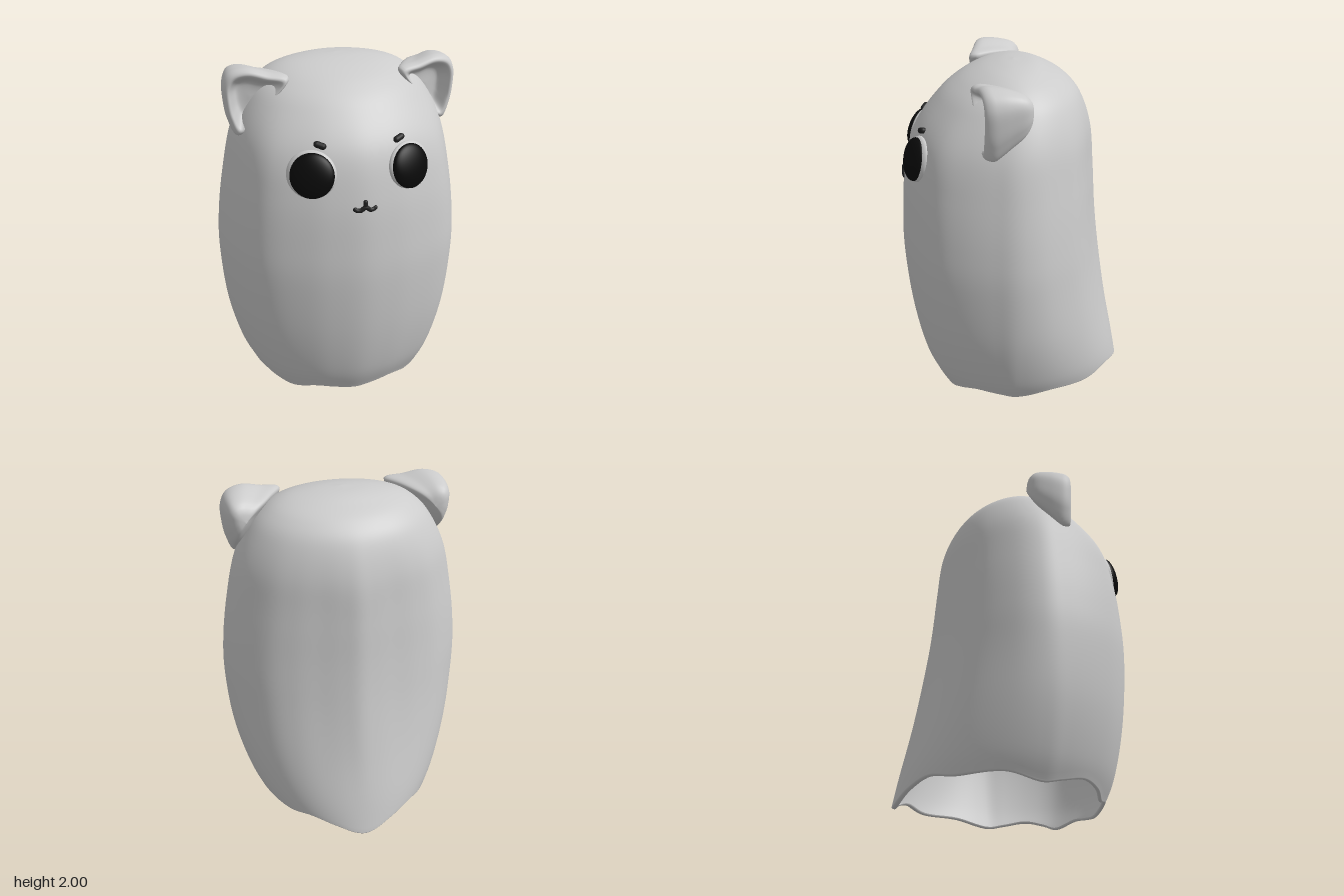
import * as THREE from 'three';

const { smoothstep, lerp } = THREE.MathUtils;
const spline = (pts, closed = false) =>
  new THREE.CatmullRomCurve3(pts.map(p => new THREE.Vector3(...p)), closed, 'catmullrom', 0.5);

const grey = new THREE.MeshStandardMaterial({ color: 0xcccccc, side: THREE.DoubleSide });
const black = new THREE.MeshStandardMaterial({ color: 0x0a0a0a });
const dark = new THREE.MeshStandardMaterial({ color: 0x222222 });

// Smooth surface through closed rings; at(i, j) gives the point of ring i, column j
function loft(rows, cols, at, flip = false) {
  const pos = [], idx = [];
  for (let i = 0; i <= rows; i++) {
    for (let j = 0; j < cols; j++) {
      pos.push(...at(i, j));
      if (i === rows) continue;
      const a = i * cols + j, d = i * cols + (j + 1) % cols, b = a + cols, c = d + cols;
      if (flip) idx.push(a, c, b, a, d, c);
      else idx.push(a, b, c, a, c, d);
    }
  }
  const g = new THREE.BufferGeometry();
  g.setAttribute('position', new THREE.Float32BufferAttribute(pos, 3));
  g.setIndex(idx);
  g.computeVertexNormals();
  return g;
}

function add(parent, name, geometry, material) {
  const m = new THREE.Mesh(geometry, material);
  m.name = name;
  parent.add(m);
  return m;
}

// Draped sheet body, open below, with a wavy hem rolled slightly inward
function bodyGeometry() {
  // height, half width, front depth, back depth
  const levels = [
    [2, 0, 0, 0], [1.99, 0.17, 0.09, 0.11], [1.96, 0.32, 0.2, 0.19], [1.9, 0.43, 0.32, 0.3],
    [1.8, 0.52, 0.44, 0.385], [1.61, 0.615, 0.58, 0.45], [1.36, 0.672, 0.645, 0.475],
    [1.1, 0.71, 0.67, 0.495], [0.85, 0.72, 0.675, 0.525], [0.5, 0.69, 0.645, 0.58],
    [0.2, 0.615, 0.585, 0.64], [0, 0.52, 0.5, 0.678],
  ];
  const heights = spline(levels.map(l => [l[0], 0, 0]));
  const sizes = spline(levels.map(l => l.slice(1)));
  // half section from front to back: x, z, hem height
  const half = [
    [0, 1, 0.045], [0.22, 0.97, 0.06], [0.42, 0.91, 0.075], [0.66, 0.79, 0.045],
    [0.8, 0.66, 0.085], [0.9, 0.46, 0.115], [0.97, 0.22, 0.09], [1, 0, 0.07],
    [0.93, -0.3, 0.115], [0.73, -0.63, 0.1], [0.52, -0.8, 0.12], [0.3, -0.9, 0.075],
    [0.14, -0.965, 0.03], [0, -1, 0.012],
  ];
  const section = spline([...half, ...half.slice(1, -1).reverse().map(([x, z, h]) => [-x, z, h])], true);
  const rows = 72, lip = 8, cols = 144;
  const outline = Array.from({ length: cols }, (_, j) => section.getPoint(j / cols));
  return loft(rows + lip, cols, (i, j) => {
    const { x: sx, y: sz, z: hem } = outline[j];
    const t = Math.min(i / rows, 1) * (1 - hem / 0.2 / (levels.length - 1));
    const y = heights.getPoint(t).x;
    const { x: w, y: f, z: b } = sizes.getPoint(t);
    // round on top, folded in the middle, round again at the rear hem
    let k = 1 - smoothstep(y, 1.45, 1.95);
    if (sz < 0) k *= smoothstep(y, 0.1, 0.9);
    const a = Math.atan2(sx, sz);
    const z = lerp(Math.cos(a), sz, k);
    // rolled edge
    const roll = Math.max(0, i - rows) / lip * Math.PI;
    const inset = 1 - 0.022 * (1 - Math.cos(roll));
    const px = lerp(Math.sin(a), sx, k) * w, pz = z * (z > 0 ? f : b);
    return [px * inset, y - 0.012 * Math.sin(roll), pz * inset];
  });
}

// Hollow-fronted ear, side = 1 or -1
function earGeometry(side) {
  const outline = spline([
    [0.31, 1.935, 0], [0.42, 1.965, 0], [0.53, 1.99, 0], [0.62, 1.968, 0], [0.66, 1.9, 0],
    [0.66, 1.8, 0], [0.642, 1.7, 0], [0.595, 1.61, 0], [0.5, 1.68, 0], [0.39, 1.82, 0],
  ], true);
  // scale and depth from the hollow, over the rim, to the rounded back
  const profile = spline([
    [0, 0.1, 0], [0.3, 0.1, 0], [0.5, 0.11, 0], [0.64, 0.15, 0], [0.77, 0.195, 0],
    [0.88, 0.2, 0], [0.97, 0.18, 0], [1, 0.145, 0], [0.92, 0.105, 0], [0.8, 0.06, 0],
    [0.58, -0.015, 0], [0.3, -0.058, 0], [0, -0.07, 0],
  ]);
  const rows = 36, cols = 64;
  return loft(rows, cols, (i, j) => {
    const p = outline.getPoint(j / cols), { x: s, y: depth } = profile.getPoint(i / rows);
    // the back shrinks towards a point high on the outer side
    const [cx, cy] = i / rows < 7 / 12 ? [0.51, 1.81] : [0.54 + 0.08 * s, 1.85 + 0.12 * s];
    const x = cx + (p.x - cx) * s, y = cy + (p.y - cy) * s;
    return [side * x, y, depth + (0.55 - x) * 0.22];
  }, side > 0);
}

export function createModel() {
  const model = new THREE.Group();
  model.name = 'catGhost';
  add(model, 'body', bodyGeometry(), grey);

  for (const side of [1, -1]) {
    const label = side > 0 ? 'left' : 'right';
    add(model, label + 'Ear', earGeometry(side), grey);

    // eye: pale disc with a dark pupil, lying on the slanted face
    const eye = new THREE.Group();
    eye.name = label + 'Eye';
    eye.position.set(side * 0.27, 1.507, 0.547);
    eye.rotation.set(-0.25, side * 0.42, 0, 'YXZ');
    const ball = new THREE.SphereGeometry(1, 40, 28);
    add(eye, 'eyeWhite', ball, grey).scale.set(0.137, 0.13, 0.047);
    const pupil = add(eye, 'pupil', ball, black);
    pupil.scale.set(0.121, 0.122, 0.044);
    pupil.position.set(-side * 0.008, -0.004, 0.02);
    model.add(eye);

    const brow = add(model, label + 'Brow', new THREE.CapsuleGeometry(0.018, 0.034, 6, 14), dark);
    brow.position.set(side * 0.216, 1.656, 0.522);
    brow.rotation.set(0, side * 0.42, Math.PI / 2 + side * 0.3, 'YXZ');
  }

  // mouth: two small curls meeting under a short stem
  const mouth = new THREE.Group();
  mouth.name = 'mouth';
  mouth.position.z = 0.65;
  const lip = spline([
    [-0.056, 1.322, -0.006], [-0.043, 1.315, -0.004], [-0.024, 1.316, 0], [0, 1.332, 0.002],
    [0.024, 1.316, 0], [0.043, 1.315, -0.004], [0.056, 1.322, -0.006],
  ]);
  add(mouth, 'lip', new THREE.TubeGeometry(lip, 40, 0.013, 10), dark);
  for (const s of [-1, 1])
    add(mouth, 'lipEnd', new THREE.SphereGeometry(0.013, 12, 8), dark).position.set(s * 0.056, 1.322, -0.006);
  add(mouth, 'stem', new THREE.CapsuleGeometry(0.013, 0.022, 5, 12), dark).position.set(0, 1.35, 0);
  model.add(mouth);

  return model;
}
